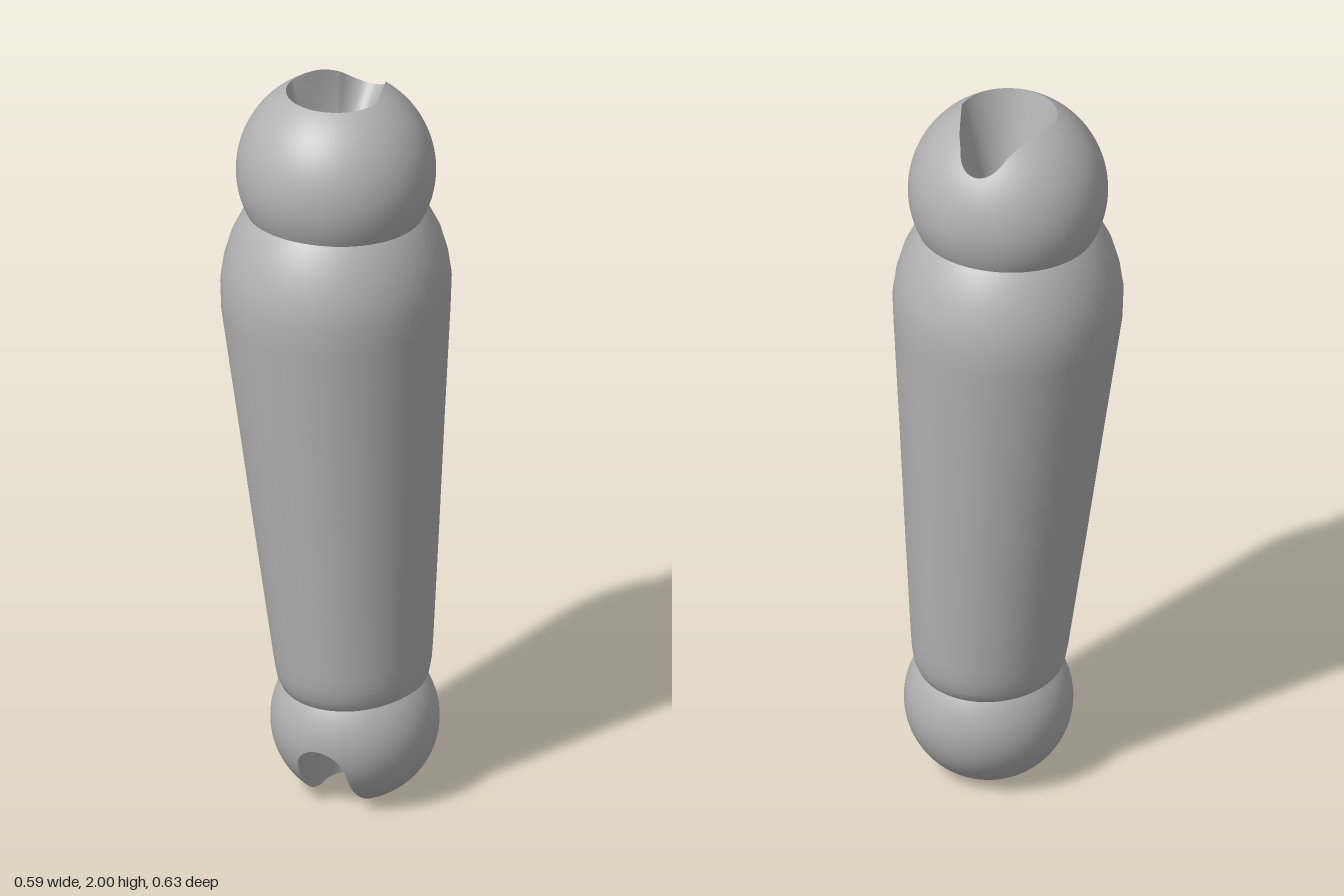
import * as THREE from 'three';

const SEGMENTS = 112;
const BORE = 0.07;

// Smooth closed-ring loft; each ring is an array of SEGMENTS [x, y, z] points
function loft(rings) {
  const index = [];
  for (let i = 0; i < rings.length - 1; i++) {
    for (let j = 0; j < SEGMENTS; j++) {
      const k = (j + 1) % SEGMENTS;
      const a = i * SEGMENTS + j, b = i * SEGMENTS + k;
      const c = a + SEGMENTS, d = b + SEGMENTS;
      index.push(a, b, c, b, d, c);
    }
  }
  const geometry = new THREE.BufferGeometry();
  geometry.setAttribute('position', new THREE.Float32BufferAttribute(rings.flat(2), 3));
  geometry.setIndex(index);
  geometry.computeVertexNormals();
  return geometry;
}

const makeRing = (point) => Array.from({ length: SEGMENTS }, (_, j) => {
  const u = (j / SEGMENTS) * Math.PI * 2 - Math.PI;
  return point(u - 0.5 * Math.sin(u), j); // denser towards the slot
});

// Azimuth t = 0 points along -z, the direction of the slot
const onSphere = (r, theta, t) => [
  r * Math.sin(theta) * Math.sin(t),
  r * Math.cos(theta),
  -r * Math.sin(theta) * Math.cos(t),
];

// Ball joint with a round hole on its +y pole that sweeps into a slot on -z
function makeBall(name, material, { r, hole, slotLow, slotRun }) {
  const inHole = ([x, y, z]) => {
    const s = -z;
    if (s <= 0) return Math.hypot(x, z) < hole;
    const half = THREE.MathUtils.lerp(hole, BORE, Math.min(s / slotRun, 1));
    const drop = Math.max(0, slotLow + BORE - y) / BORE;
    return (x / half) ** 2 + drop ** 2 < 1;
  };
  const rimAngle = (t) => {
    let low = 0, high = Math.PI / 2;
    for (let i = 0; i < 30; i++) {
      const mid = (low + high) / 2;
      if (inHole(onSphere(r, mid, t))) low = mid; else high = mid;
    }
    return low;
  };

  const end = Math.PI - Math.asin(0.1 / r); // leaves the bore clear
  const shell = [];
  for (let i = 0; i <= 40; i++) {
    shell.push(makeRing((t) => onSphere(r, THREE.MathUtils.lerp(rimAngle(t), end, i / 40), t)));
  }

  // Funnel wall from the rim to the bore at the ball's centre
  const rim = shell[0];
  const funnel = [];
  for (let i = 0; i <= 8; i++) {
    const f = i / 8;
    funnel.push(makeRing((t, j) => {
      const inner = [BORE * Math.sin(t), 0, -BORE * Math.cos(t)];
      return rim[j].map((v, n) => THREE.MathUtils.lerp(v, inner[n], f));
    }));
  }

  const group = new THREE.Group();
  group.name = name;
  const shellMesh = new THREE.Mesh(loft(shell), material);
  shellMesh.name = name + 'Shell';
  const funnelMesh = new THREE.Mesh(loft(funnel), material);
  funnelMesh.name = name + 'Funnel';
  group.add(shellMesh, funnelMesh);
  return group;
}

export function createModel() {
  const model = new THREE.Group();
  model.name = 'limbSegment';
  const grey = new THREE.MeshStandardMaterial({ color: 0xb2b2b2, side: THREE.DoubleSide });
  grey.name = 'plainGrey';

  // Tapered limb body: y, centre x, half width, half depth
  const sections = [
    [1.70, 0, 0.2, 0.21], [1.66, 0, 0.229, 0.241], [1.63, 0, 0.248, 0.262],
    [1.58, 0, 0.272, 0.288], [1.52, 0, 0.289, 0.305], [1.46, 0, 0.297, 0.315],
    [1.38, 0, 0.294, 0.313], [1.06, 0.016, 0.264, 0.284], [0.74, 0.032, 0.235, 0.256],
    [0.42, 0.048, 0.205, 0.227], [0.37, 0.05, 0.2, 0.221], [0.335, 0.05, 0.194, 0.212],
    [0.31, 0.05, 0.185, 0.198], [0.28, 0.052, 0.165, 0.175], [0.25, 0.052, 0.14, 0.15],
  ];
  const body = new THREE.Mesh(loft(sections.map(([y, cx, rx, rz]) =>
    makeRing((t) => [cx + rx * Math.sin(t), y, -rz * Math.cos(t)]))), grey);
  body.name = 'limbBody';
  model.add(body);

  // Upper ball joint, slotted to the back
  const upper = makeBall('upperBall', grey, { r: 0.26, hole: 0.13, slotLow: 0.153, slotRun: 0.16 });
  upper.position.set(0, 1.775, 0);
  model.add(upper);

  // Lower ball joint, turned over so its slot faces the front
  const lower = makeBall('lowerBall', grey, { r: 0.22, hole: 0.083, slotLow: 0.012, slotRun: 0.19 });
  lower.rotation.x = Math.PI;
  lower.position.set(0.055, 0.204, 0);
  model.add(lower);

  // Cord bore running through the limb
  const bore = new THREE.Mesh(loft([[0, 1.775], [0.055, 0.204]].map(([cx, y]) =>
    makeRing((t) => [cx + BORE * Math.sin(t), y, -BORE * Math.cos(t)]))), grey);
  bore.name = 'cordBore';
  model.add(bore);

  return model;
}
